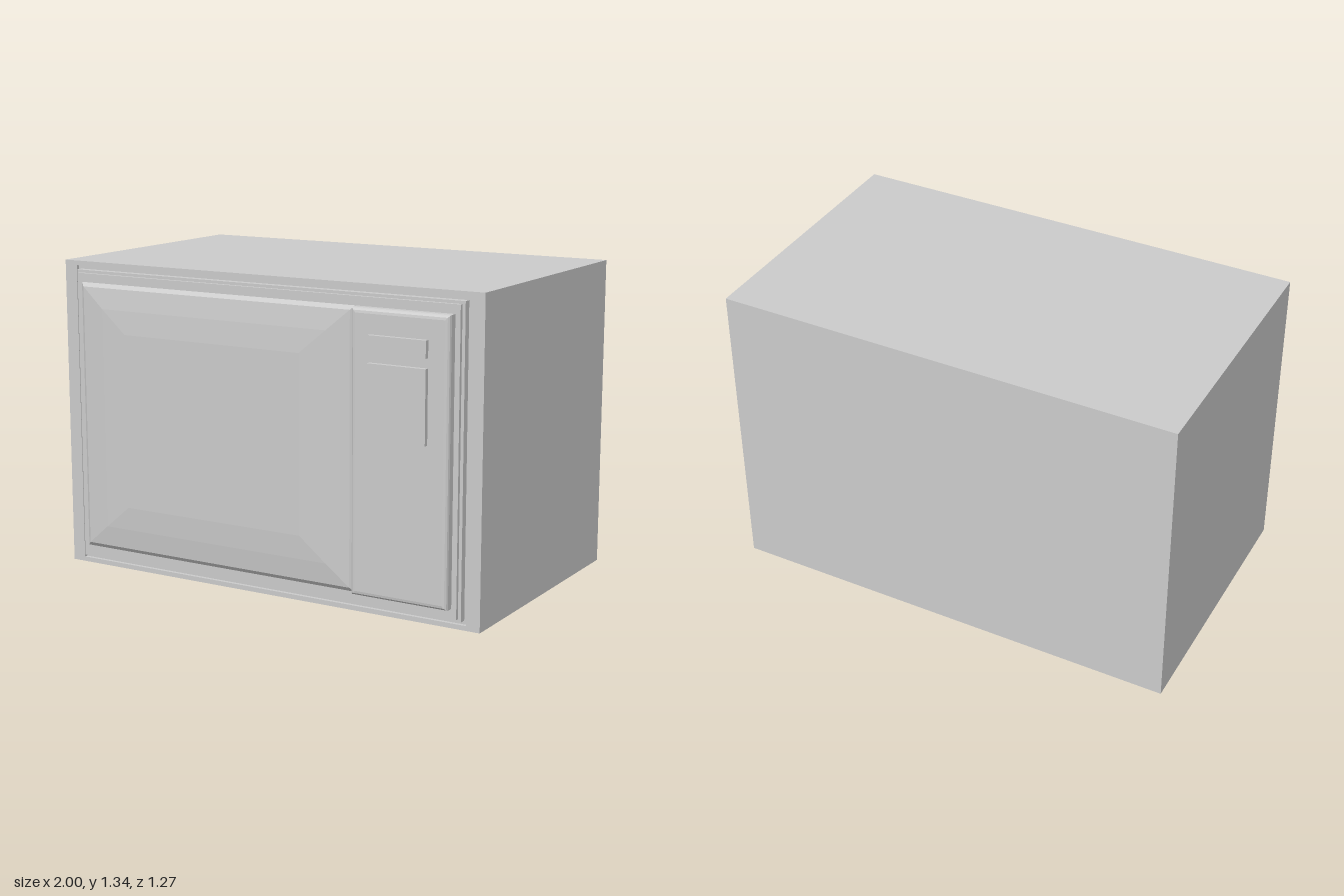
import * as THREE from 'three';

const material = new THREE.MeshStandardMaterial({ color: 0xcccccc, flatShading: true });

// Solid from nested rectangles [halfWidth, halfHeight, z], listed from back to front
function rectLoft(name, cx, cy, rings, capBack = true) {
  const corners = rings.map(([w, h, z]) =>
    [[-1, -1], [1, -1], [1, 1], [-1, 1]].map(([sx, sy]) => [cx + sx * w, cy + sy * h, z]));
  const pos = [];
  const quad = (a, b, c, d) => pos.push(...a, ...b, ...c, ...a, ...c, ...d);
  for (let i = 0; i < corners.length - 1; i++) {
    for (let j = 0; j < 4; j++) {
      const k = (j + 1) % 4;
      quad(corners[i][j], corners[i][k], corners[i + 1][k], corners[i + 1][j]);
    }
  }
  quad(...corners[corners.length - 1]);
  if (capBack) quad(...[...corners[0]].reverse());
  const geo = new THREE.BufferGeometry();
  geo.setAttribute('position', new THREE.Float32BufferAttribute(pos, 3));
  geo.computeVertexNormals();
  const mesh = new THREE.Mesh(geo, material);
  mesh.name = name;
  return mesh;
}

export function createModel() {
  const group = new THREE.Group();
  group.name = 'television';

  // Cabinet with a narrow groove around a two-stepped front frame
  group.add(rectLoft('cabinet', 0, 0.6675, [
    [1, 0.6675, -0.635], [1, 0.6675, 0.54],
    [0.94, 0.6475, 0.54], [0.94, 0.6475, 0.525],
    [0.925, 0.632, 0.525], [0.925, 0.632, 0.555],
    [0.912, 0.62, 0.555], [0.912, 0.62, 0.57],
  ]));

  // Bulging screen with a steep lip and a flat middle
  group.add(rectLoft('screen', -0.2175, 0.67, [
    [0.6725, 0.58, 0.565], [0.6725, 0.58, 0.57], [0.655, 0.563, 0.583],
    [0.55, 0.475, 0.594], [0.43, 0.375, 0.6],
  ], false));

  // Control panel with rounded-off front edges
  group.add(rectLoft('controlPanel', 0.675, 0.67, [
    [0.215, 0.58, 0.565], [0.215, 0.58, 0.598], [0.212, 0.577, 0.607],
    [0.205, 0.57, 0.613], [0.195, 0.56, 0.615],
  ], false));

  // Raised plates on the control panel
  for (const [name, low, high] of [['channelDisplay', 1.08, 1.15], ['keypad', 0.74, 1.04]]) {
    const plate = new THREE.Mesh(new THREE.BoxGeometry(0.255, high - low, 0.03), material);
    plate.position.set(0.6725, (low + high) / 2, 0.62);
    plate.name = name;
    group.add(plate);
  }
  return group;
}
